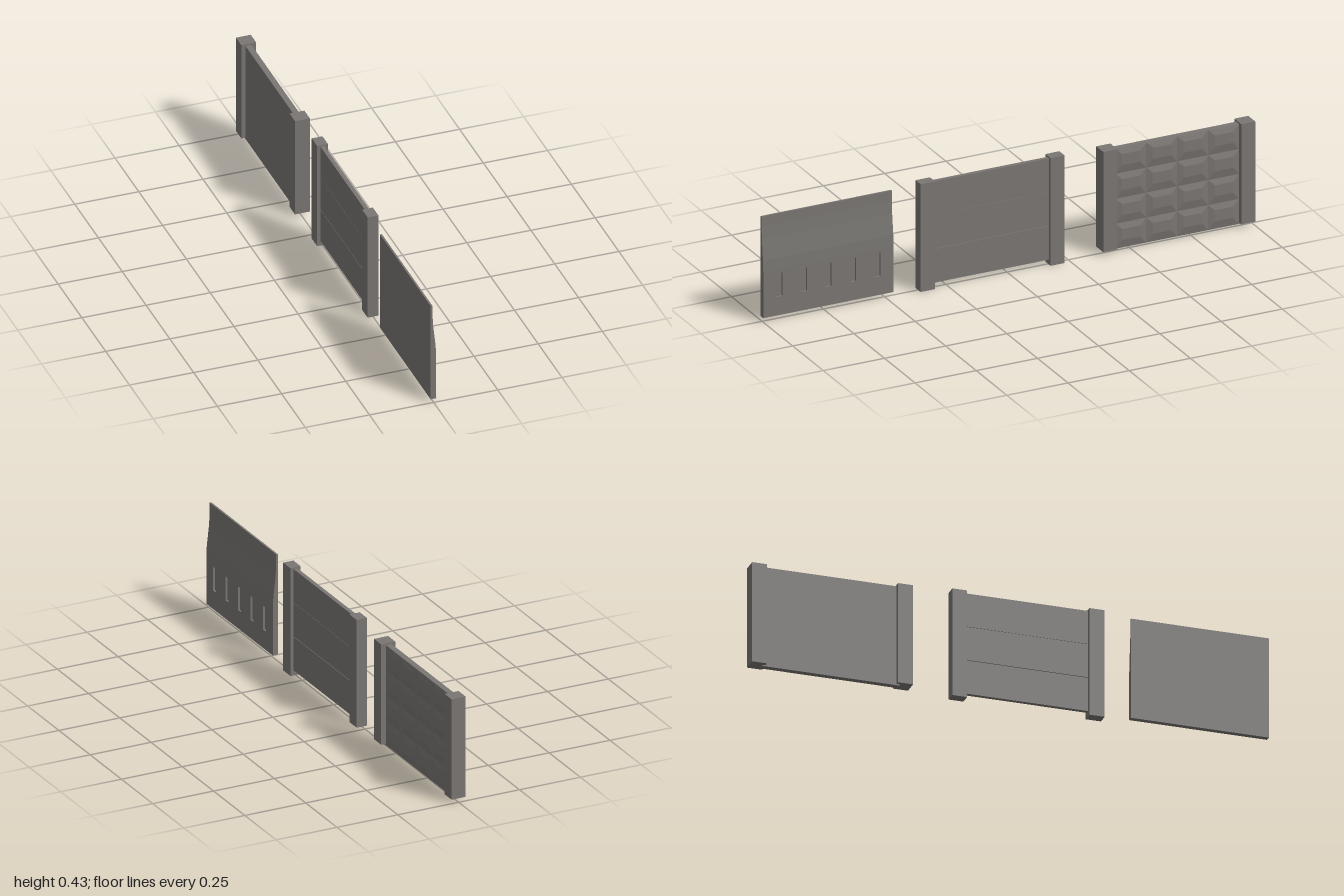
import * as THREE from 'three';

const concrete = new THREE.MeshStandardMaterial({ color: 0x797673, flatShading: true });

function add(group, name, geometry) {
  const mesh = new THREE.Mesh(geometry, concrete);
  mesh.name = name;
  group.add(mesh);
  return mesh;
}

// box given by its limits on each axis
function slab(group, name, [x0, x1], [y0, y1], [z0, z1]) {
  const mesh = add(group, name, new THREE.BoxGeometry(x1 - x0, y1 - y0, z1 - z0));
  mesh.position.set((x0 + x1) / 2, (y0 + y1) / 2, (z0 + z1) / 2);
}

function rectangle(Type, x0, x1, y0, y1) {
  const points = [[x0, y0], [x1, y0], [x1, y1], [x0, y1]];
  return new Type(points.map(([x, y]) => new THREE.Vector2(x, y)));
}

// barrier slab: thick foot tapering to a thin top, with a row of recesses
function slottedPanel() {
  const group = new THREE.Group();
  group.name = 'slottedPanel';
  const z0 = 0.468, z1 = 1, floorX = 0.002, faceX = 0.0095, bendY = 0.2;
  const profile = new THREE.Shape([
    [-0.0115, 0.016], [floorX, 0.016], [floorX, bendY], [faceX, bendY],
    [0.0075, 0.245], [-0.0015, 0.325], [-0.0045, 0.375], [-0.0045, 0.416], [-0.0115, 0.416],
  ].map(([x, y]) => new THREE.Vector2(x, y)));
  const body = add(group, 'taperedSlab',
    new THREE.ExtrudeGeometry(profile, { depth: z1 - z0, bevelEnabled: false }));
  body.position.z = z0;

  // lower face plate, pierced so the slab behind forms the recess floors
  const face = rectangle(THREE.Shape, -z1, -z0, 0.016, bendY);
  for (let i = -2; i <= 2; i++) {
    const c = -(z0 + z1) / 2 + i * 0.1;
    face.holes.push(rectangle(THREE.Path, c - 0.0125, c + 0.0125, 0.09, 0.184));
  }
  const plate = new THREE.ExtrudeGeometry(face, { depth: faceX - floorX, bevelEnabled: false });
  plate.rotateY(Math.PI / 2).translate(floorX, 0, 0);
  add(group, 'recessedFace', plate);
  return group;
}

// three horizontal boards between two posts
function plankPanel() {
  const group = new THREE.Group();
  group.name = 'plankPanel';
  for (const z of [[-0.225, -0.168], [0.304, 0.363]]) slab(group, 'plankPost', [-0.021, 0.021], [0, 0.43], z);
  for (const y of [[0.02, 0.154], [0.156, 0.2895], [0.2905, 0.424]])
    slab(group, 'plank', [-0.008, 0.008], y, [-0.175, 0.311]);
  return group;
}

// shallow truncated pyramid standing out along +x from a y-z cell
function reliefBlock(width, height, depth) {
  const geo = new THREE.BoxGeometry(depth, height, width);
  const p = geo.attributes.position;
  for (let i = 0; i < p.count; i++) {
    if (p.getX(i) < 0) continue;
    p.setZ(i, p.getZ(i) - Math.sign(p.getZ(i)) * 0.026);
    p.setY(i, p.getY(i) > 0 ? p.getY(i) - 0.024 : p.getY(i) + 0.032);
  }
  geo.computeVertexNormals();
  return geo;
}

// cast slab with a grid of raised blocks on its +x side, between two posts
function reliefPanel() {
  const group = new THREE.Group();
  group.name = 'reliefPanel';
  for (const z of [[-1, -0.943], [-0.437, -0.379]]) slab(group, 'reliefPost', [-0.029, 0.029], [0.016, 0.416], z);
  const faceX = 0.01, bottom = 0.011, top = 0.41;
  slab(group, 'reliefSlab', [-0.013, faceX], [bottom, top], [-0.955, -0.425]);
  const n = 4, w = 0.506 / n, h = (top - bottom) / n, depth = 0.006;
  const block = reliefBlock(w, h, depth);
  for (let row = 0; row < n; row++) {
    for (let col = 0; col < n; col++) {
      add(group, 'raisedBlock', block)
        .position.set(faceX + depth / 2, bottom + (row + 0.5) * h, -0.943 + (col + 0.5) * w);
    }
  }
  return group;
}

export function createModel() {
  const model = new THREE.Group();
  model.name = 'fencePanels';
  model.add(slottedPanel(), plankPanel(), reliefPanel());
  return model;
}
